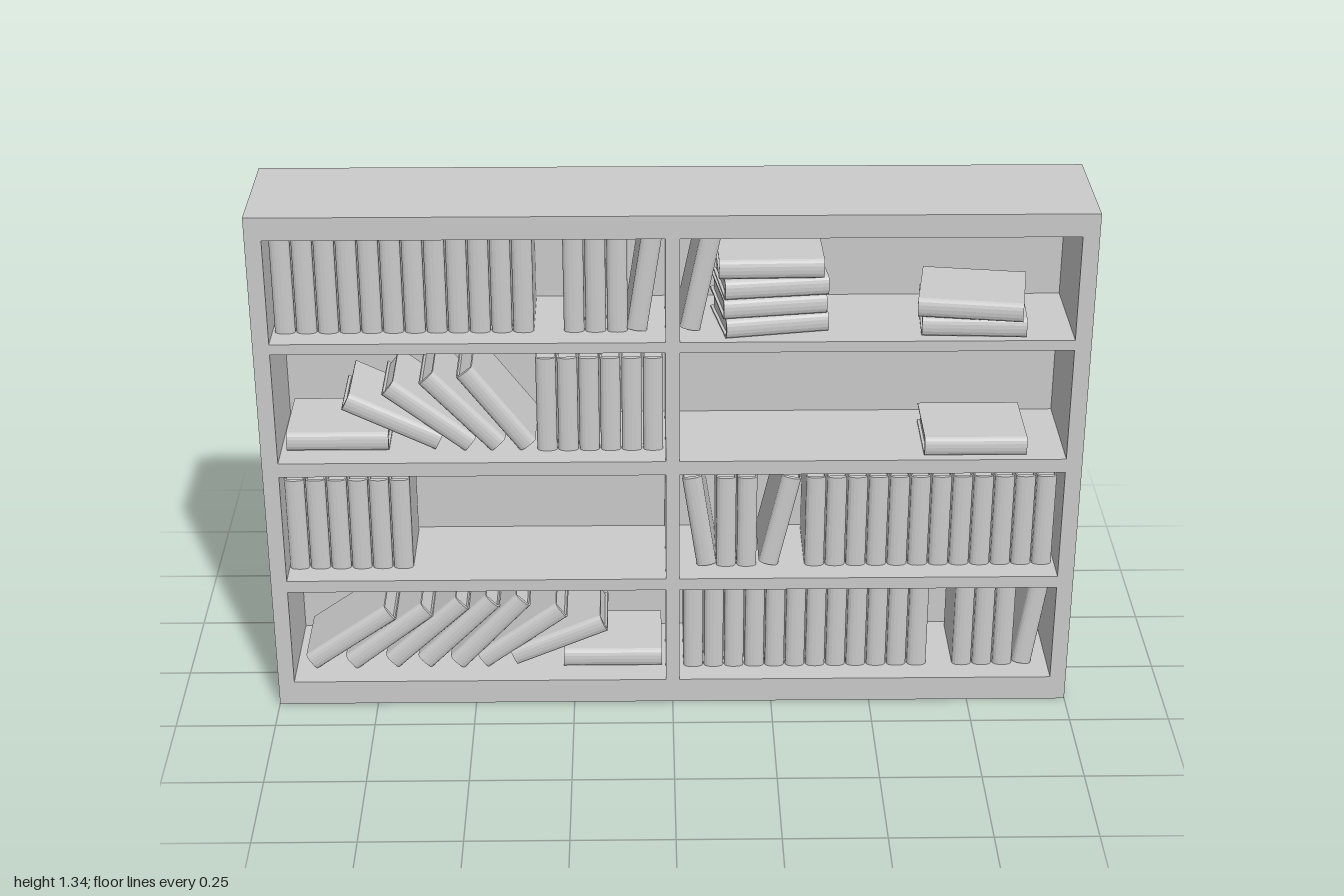
import * as THREE from 'three';

const T = 0.049, H = 0.25, D = 0.2; // book thickness, height, depth
const PITCH = 0.052;
const FLAT = Math.PI / 2;

export function createModel() {
  const model = new THREE.Group();
  model.name = 'bookcase';
  const material = new THREE.MeshStandardMaterial({ color: 0xcccccc });

  const add = (parent, name, geometry, x = 0, y = 0, z = 0) => {
    const mesh = new THREE.Mesh(geometry, material);
    mesh.name = name;
    mesh.position.set(x, y, z);
    parent.add(mesh);
    return mesh;
  };

  // Case: front frame with eight openings, closed by a back panel
  const rect = (path, x0, y0, x1, y1) =>
    path.moveTo(x0, y0).lineTo(x1, y0).lineTo(x1, y1).lineTo(x0, y1).closePath();
  const frame = new THREE.Shape();
  rect(frame, -1, 0, 1, 1.335);
  const floors = [0.065, 0.36, 0.69, 1.01];
  const tops = [0.328, 0.653, 0.983, 1.277];
  floors.forEach((floor, i) => {
    for (const x of [-0.96, 0.017]) {
      const hole = new THREE.Path();
      rect(hole, x, floor, x + 0.943, tops[i]);
      frame.holes.push(hole);
    }
  });
  add(model, 'shelfFrame', new THREE.ExtrudeGeometry(frame, { depth: 0.275, bevelEnabled: false }), 0, 0, -0.125);
  add(model, 'backPanel', new THREE.BoxGeometry(2, 1.335, 0.04), 0, 0.6675, -0.145);

  // Book cover: U-shaped section with a rounded spine, extruded along the height
  const h = T / 2, c = 0.004, spine = D / 2 - 0.012;
  const section = new THREE.Shape();
  section.moveTo(-h, D / 2);
  section.lineTo(-h, -spine);
  section.quadraticCurveTo(-h + 0.003, -D / 2, 0, -D / 2);
  section.quadraticCurveTo(h - 0.003, -D / 2, h, -spine);
  section.lineTo(h, D / 2);
  section.lineTo(h - c, D / 2);
  section.lineTo(h - c, -spine);
  section.lineTo(-h + c, -spine);
  section.lineTo(-h + c, D / 2);
  section.closePath();
  const cover = new THREE.ExtrudeGeometry(section, { depth: H, bevelEnabled: false, curveSegments: 4 });
  cover.rotateX(-Math.PI / 2).translate(0, -H / 2, 0);
  const pages = new THREE.BoxGeometry(T - 2 * c, H - 0.014, D - 0.018);

  // tilt turns the book in the front plane, yaw swings it on its shelf
  const book = (name, x, y, tilt = 0, yaw = 0, z = -0.01) => {
    const group = new THREE.Group();
    group.name = name;
    add(group, 'cover', cover);
    add(group, 'pages', pages, 0, 0, 0.003);
    group.position.set(x, y, z);
    group.rotation.set(0, yaw, tilt, 'YXZ');
    model.add(group);
  };

  // Upright rows: [shelf, left edge, count]
  const rows = [
    [3, -0.955, 12], [3, -0.262, 3],
    [2, -0.333, 6],
    [1, -0.96, 6], [1, 0.108, 2], [1, 0.33, 12],
    [0, 0.027, 12], [0, 0.715, 3],
  ];
  for (const [shelf, x, count] of rows)
    for (let i = 0; i < count; i++)
      book('uprightBook', x + PITCH * (i + 0.5), floors[shelf] + H / 2);

  // Slightly leaning books: [shelf, centre x, tilt]
  const leaning = [
    [3, -0.067, -0.15], [3, 0.067, -0.2],
    [1, 0.067, 0.15], [1, 0.268, -0.22], [0, 0.912, -0.14],
  ];
  for (const [shelf, x, tilt] of leaning)
    book('leaningBook', x, floors[shelf] + (H * Math.cos(tilt) + T * Math.abs(Math.sin(tilt))) / 2, tilt);

  // Toppled books: [centre x, centre y, degrees]
  const toppled = [
    [-0.684, 0.768, 64], [-0.594, 0.783, 52], [-0.513, 0.795, 43], [-0.43, 0.802, 37],
    [-0.818, 0.154, -55], [-0.72, 0.157, -52], [-0.623, 0.168, -47], [-0.543, 0.17, -45],
    [-0.463, 0.17, -43], [-0.382, 0.157, -54], [-0.289, 0.142, -67],
  ];
  for (const [x, y, deg] of toppled) book('toppledBook', x, y, THREE.MathUtils.degToRad(deg));

  // Lying books: [shelf, level in the pile, centre x, yaw, z]
  const lying = [
    [2, 0, -0.82, 0, -0.01], [0, 0, -0.152, 0, -0.01],
    [2, 0, 0.74, 0, 0.035],
    [3, 0, 0.235, 0.17, 0.02], [3, 1, 0.232, 0.14, 0.02],
    [3, 2, 0.237, 0.12, 0.02], [3, 3, 0.233, 0.02, 0.02],
    [3, 0, 0.725, -0.05, 0.035], [3, 1, 0.722, -0.15, 0.046],
  ];
  for (const [shelf, level, x, yaw, z] of lying)
    book('lyingBook', x, floors[shelf] + T * (level + 0.5), FLAT, yaw, z);

  return model;
}
